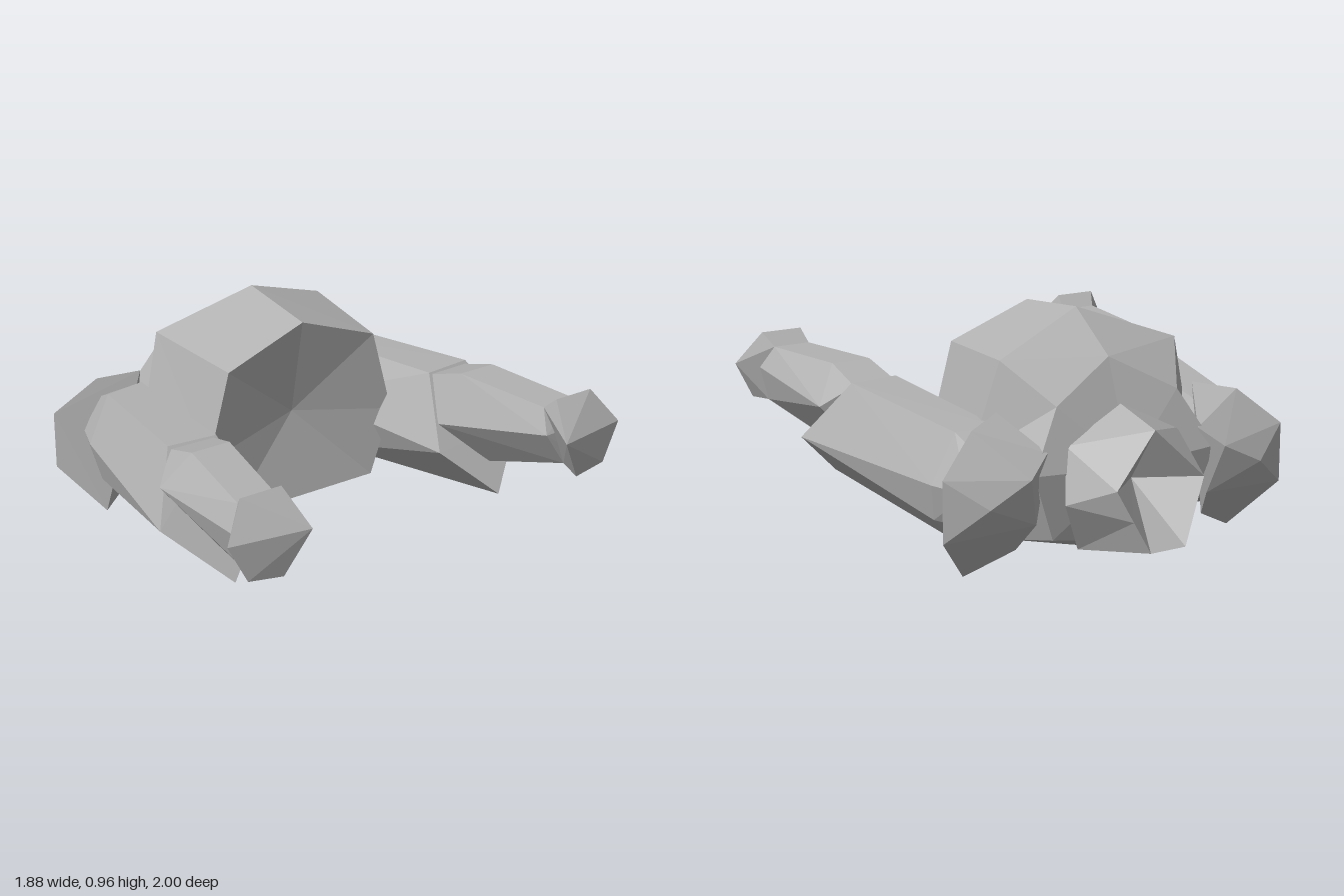
import * as THREE from 'three';
import { ConvexGeometry } from 'three/addons/geometries/ConvexGeometry.js';

const V = (p, side = 1) => new THREE.Vector3(p[0] * side, p[1], p[2]);

// Skins half rings (listed top to bottom on +x, from front to back) and mirrors them.
function mirroredLoft(rings, frontCentre, backCentre) {
  const tris = [];
  const first = rings[0], last = rings[rings.length - 1];
  for (let j = 0; j < first.length - 1; j++) {
    tris.push([frontCentre, first[j + 1], first[j]]);
    tris.push([backCentre, last[j], last[j + 1]]);
    for (let i = 0; i < rings.length - 1; i++) {
      const a = rings[i][j], b = rings[i][j + 1];
      const c = rings[i + 1][j + 1], d = rings[i + 1][j];
      tris.push([a, b, d], [b, c, d]);
    }
  }
  const pts = [];
  for (const [a, b, c] of tris) {
    pts.push(V(a), V(b), V(c), V(a, -1), V(c, -1), V(b, -1));
  }
  const geo = new THREE.BufferGeometry().setFromPoints(pts);
  geo.computeVertexNormals();
  return geo;
}

export function createModel() {
  const model = new THREE.Group();
  model.name = 'armouredTorso';
  const grey = new THREE.MeshStandardMaterial({ color: 0xb2b2b2, flatShading: true });
  grey.name = 'plain grey';

  const add = (name, geo, parent = model) => {
    const mesh = new THREE.Mesh(geo, grey);
    mesh.name = name;
    parent.add(mesh);
  };

  // Faceted torso with a dished front
  add('torso', mirroredLoft([
    [[0, 0.925, 0.05], [0.36, 0.79, 0.05], [0.46, 0.42, 0.05], [0.36, 0.135, 0.05], [0, 0.135, 0.05]],
    [[0, 0.965, -0.33], [0.41, 0.815, -0.43], [0.52, 0.42, -0.38], [0.4, 0.085, -0.42], [0, 0.01, -0.52]],
    [[0, 0.81, -0.57], [0.28, 0.66, -0.64], [0.42, 0.42, -0.71], [0.32, 0.14, -0.68], [0, 0.08, -0.66]],
  ], [0, 0.5, -0.03], [0, 0.4, -0.73]));

  // Hollow collar opening to the back, tapering in towards its lower lip
  add('collar', mirroredLoft([
    [[0, 0.64, -0.66], [0.26, 0.51, -0.675], [0.31, 0.3, -0.755], [0.2, 0.08, -0.67], [0, 0.08, -0.66]],
    [[0, 0.59, -0.9], [0.2, 0.39, -0.945], [0.14, 0.265, -0.972], [0.08, 0.14, -1], [0, 0.14, -1]],
  ], [0, 0.35, -0.64], [0, 0.36, -0.74]));

  // Convex limb parts, given for the +x side
  const armParts = {
    shoulderPad: [
      [0.63, 0, -0.52], [0.79, 0.2, -0.66], [0.79, 0.45, -0.66], [0.62, 0.6, -0.58],
      [0.46, 0.63, -0.49], [0.35, 0.5, -0.69], [0.4, 0.22, -0.69], [0.44, 0.1, -0.6],
      [0.63, 0.33, -0.74], [0.45, 0.42, -0.74],
    ],
    upperArm: [
      // pointed end under the forearm
      [0.53, 0.63, 0.22], [0.74, 0.63, 0.2], [0.89, 0.38, 0.38],
      [0.66, 0.16, 0.55], [0.44, 0.36, 0.42],
      // shoulder end
      [0.45, 0.57, -0.5], [0.63, 0.57, -0.47], [0.73, 0.37, -0.46], [0.7, 0.215, -0.42],
      [0.56, 0.08, -0.42], [0.42, 0.1, -0.36], [0.31, 0.36, -0.38],
      // rounded back
      [0.67, 0.37, -0.63], [0.6, 0.5, -0.61], [0.45, 0.5, -0.62], [0.6, 0.2, -0.58], [0.42, 0.25, -0.6],
    ],
    forearm: [
      [0.65, 0.665, 0.81], [0.81, 0.665, 0.81], [0.86, 0.57, 0.86],
      [0.82, 0.42, 0.87], [0.72, 0.42, 0.87], [0.62, 0.57, 0.87],
      [0.57, 0.675, 0.38], [0.74, 0.675, 0.38], [0.84, 0.52, 0.3],
      [0.67, 0.28, 0.47], [0.48, 0.45, 0.33],
      [0.54, 0.615, 0.2], [0.73, 0.615, 0.2], [0.66, 0.32, 0.25],
    ],
    cuff: [
      [0.65, 0.665, 0.81], [0.81, 0.665, 0.81], [0.66, 0.72, 0.87], [0.84, 0.72, 0.87],
      [0.94, 0.58, 0.94], [0.61, 0.585, 1], [0.86, 0.42, 0.95], [0.71, 0.4, 0.96],
      [0.82, 0.42, 0.87], [0.72, 0.42, 0.87],
    ],
  };
  for (const [label, side] of [['leftArm', 1], ['rightArm', -1]]) {
    const arm = new THREE.Group();
    arm.name = label;
    for (const [name, pts] of Object.entries(armParts)) {
      add(name, new ConvexGeometry(pts.map((p) => V(p, side))), arm);
    }
    model.add(arm);
  }
  return model;
}
